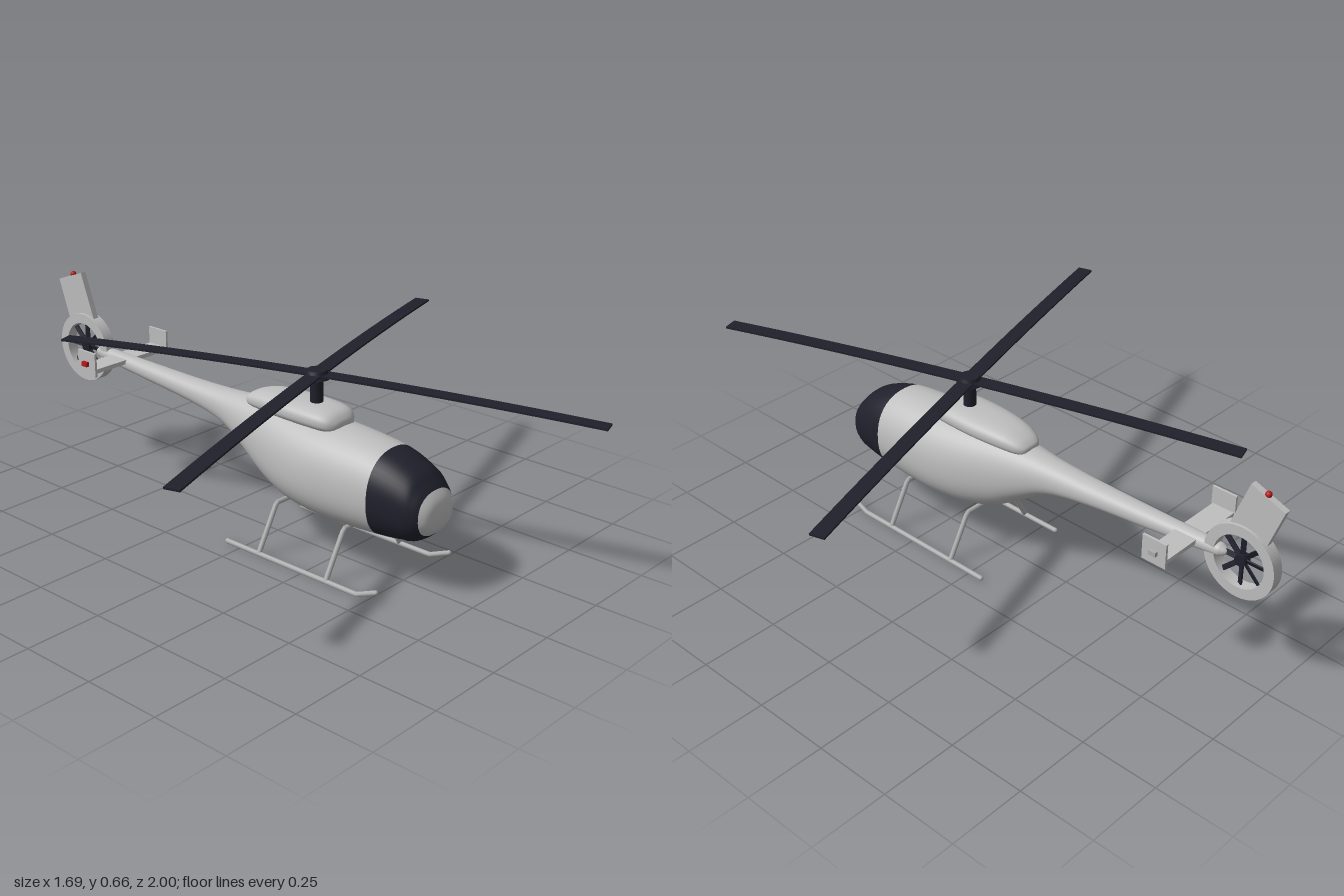
import * as THREE from 'three';

const mat = (name, color, side = THREE.FrontSide) => {
  const m = new THREE.MeshStandardMaterial({ color, side });
  m.name = name;
  return m;
};

// Cubic interpolation between rows of section values
function refine(rows, steps) {
  const out = [];
  const at = i => rows[Math.min(Math.max(i, 0), rows.length - 1)];
  for (let i = 0; i < rows.length - 1; i++) {
    for (let s = 0; s < steps; s++) {
      const t = s / steps;
      out.push(at(i).map((b, k) => {
        const a = at(i - 1)[k], c = at(i + 1)[k], d = at(i + 2)[k];
        return b + 0.5 * t * (c - a + t * (2 * a - 5 * b + 4 * c - d + t * (3 * (b - c) + d - a)));
      }));
    }
  }
  out.push(rows[rows.length - 1]);
  return out;
}

// Closed hull from sections [z, top, bottom, halfWidth], ordered front to back
function hull(sections, power, pick = () => 0) {
  const rows = refine(sections, 4), n = 48, pos = [], faces = [[], []];
  for (const [z, top, bottom, w] of rows) {
    for (let j = 0; j < n; j++) {
      const a = (j / n) * Math.PI * 2, c = Math.cos(a), s = Math.sin(a);
      const r = Math.pow(Math.abs(c) ** power + Math.abs(s) ** power, -1 / power);
      pos.push(w * c * r, (top + bottom) / 2 + (top - bottom) / 2 * s * r, z);
    }
  }
  for (let i = 0; i < rows.length - 1; i++) {
    for (let j = 0; j < n; j++) {
      const a = i * n + j, b = i * n + (j + 1) % n;
      const z = (rows[i][0] + rows[i + 1][0]) / 2;
      faces[pick(z, Math.sin((j + 0.5) / n * Math.PI * 2))].push(a, a + n, b, b, a + n, b + n);
    }
  }
  // End caps
  [[rows[0], 0, false], [rows[rows.length - 1], (rows.length - 1) * n, true]].forEach(([row, base, flip]) => {
    const centre = pos.length / 3;
    pos.push(0, (row[1] + row[2]) / 2, row[0]);
    for (let j = 0; j < n; j++) {
      const a = base + j, b = base + (j + 1) % n;
      faces[0].push(centre, flip ? b : a, flip ? a : b);
    }
  });
  const g = new THREE.BufferGeometry();
  g.setAttribute('position', new THREE.Float32BufferAttribute(pos, 3));
  g.setIndex(faces[0].concat(faces[1]));
  g.addGroup(0, faces[0].length, 0);
  g.addGroup(faces[0].length, faces[1].length, 1);
  g.computeVertexNormals();
  return g;
}

export function createModel() {
  const model = new THREE.Group();
  const grey = mat('body grey', 0xbfbfbf);
  const dark = mat('dark glass and rotor', 0x20202c);
  const metal = mat('skid metal', 0xadadad);
  const red = mat('red lamp', 0xb51a1a);

  const add = (name, geo, material, x = 0, y = 0, z = 0, parent = model) => {
    const m = new THREE.Mesh(geo, material);
    m.name = name;
    m.position.set(x, y, z);
    parent.add(m);
    return m;
  };
  const box = (w, h, d) => new THREE.BoxGeometry(w, h, d);
  const rod = (points, r = 0.008) => {
    const path = new THREE.CurvePath();
    for (let i = 1; i < points.length; i++) {
      path.add(new THREE.LineCurve3(new THREE.Vector3(...points[i - 1]), new THREE.Vector3(...points[i])));
    }
    return new THREE.TubeGeometry(path, 40, r, 10);
  };
  // Upright plate drawn as (-z, y), centred on x = 0
  const plate = (shape, width) => new THREE.ExtrudeGeometry(shape, { depth: width, bevelEnabled: false, curveSegments: 40 })
    .translate(0, 0, -width / 2).rotateY(Math.PI / 2);

  // Fuselage with tail boom; windscreen is a band around the nose
  const body = [
    [0.63, 0.268, 0.238, 0.02], [0.623, 0.3, 0.21, 0.057], [0.605, 0.328, 0.19, 0.08],
    [0.585, 0.35, 0.173, 0.094], [0.55, 0.38, 0.158, 0.106], [0.45, 0.415, 0.147, 0.123],
    [0.3, 0.43, 0.14, 0.133], [0.2, 0.433, 0.143, 0.133], [0.1, 0.435, 0.155, 0.12],
    [0, 0.435, 0.19, 0.097], [-0.1, 0.43, 0.255, 0.074], [-0.2, 0.423, 0.313, 0.054],
    [-0.35, 0.42, 0.345, 0.042], [-0.6, 0.424, 0.37, 0.03], [-0.78, 0.428, 0.388, 0.022],
    [-0.81, 0.424, 0.394, 0.017], [-0.825, 0.415, 0.403, 0.006],
  ];
  const isGlass = (z, s) => (z < 0.605 && z > 0.45 && (z > 0.55 || s > -0.8) ? 1 : 0);
  add('fuselage', hull(body, 2.3, isGlass), [grey, dark]);

  // Engine cowl
  add('engineCowl', hull([
    [0.268, 0.438, 0.424, 0.02], [0.262, 0.452, 0.415, 0.045], [0.24, 0.47, 0.41, 0.067],
    [0.19, 0.478, 0.41, 0.077], [0.08, 0.479, 0.41, 0.078], [-0.02, 0.474, 0.41, 0.067],
    [-0.075, 0.46, 0.41, 0.052], [-0.1, 0.445, 0.415, 0.035], [-0.106, 0.436, 0.424, 0.015],
  ], 2.6), [grey, grey]);

  // Main rotor
  const rotor = new THREE.Group();
  rotor.name = 'mainRotor';
  rotor.position.z = 0.155;
  model.add(rotor);
  add('mast', new THREE.CylinderGeometry(0.02, 0.02, 0.1, 20), dark, 0, 0.515, 0, rotor);
  add('rotorHub', new THREE.CylinderGeometry(0.03, 0.041, 0.026, 24), dark, 0, 0.566, 0, rotor);
  const bladeGeo = box(0.876, 0.006, 0.048).toNonIndexed();
  const long = new THREE.BoxGeometry(0.876, 0.006, 0.048, 16, 1, 1).translate(0.438, 0, 0);
  bladeGeo.dispose();
  const p = long.attributes.position;
  for (let i = 0; i < p.count; i++) p.setY(i, p.getY(i) - 0.019 * (p.getX(i) / 0.876) ** 2);
  long.computeVertexNormals();
  for (let i = 0; i < 4; i++) {
    add('rotorBlade', long, dark, 0, 0.566, 0, rotor).rotation.y = THREE.MathUtils.degToRad(17 + 90 * i);
  }

  // Tail ring with enclosed fan
  const ring = new THREE.Shape().absarc(0, 0, 0.116, 0, Math.PI * 2);
  ring.holes.push(new THREE.Path().absarc(0, 0, 0.083, 0, Math.PI * 2, true));
  add('tailRing', plate(ring, 0.038), grey, 0, 0.412, -0.875);
  const fan = new THREE.Group();
  fan.name = 'tailFan';
  fan.position.set(0, 0.412, -0.875);
  model.add(fan);
  add('fanHub', new THREE.CylinderGeometry(0.018, 0.018, 0.026, 20).rotateZ(Math.PI / 2), dark, 0, 0, 0, fan);
  const fanBlade = box(0.005, 0.074, 0.015).rotateY(0.4).translate(0, 0.046, 0);
  for (let i = 0; i < 8; i++) add('fanBlade', fanBlade, dark, 0, 0, 0, fan).rotation.x = i * Math.PI / 4;

  // Swept fin above the ring
  const fin = new THREE.Shape([[0.826, 0.508], [0.95, 0.49], [0.998, 0.626], [0.885, 0.668]]
    .map(q => new THREE.Vector2(...q)));
  add('tailFin', plate(fin, 0.02), grey);
  add('finLamp', new THREE.SphereGeometry(0.01, 12, 8), red, 0, 0.653, -0.935);

  // Horizontal stabilizer with end plates and lamps
  add('stabilizer', box(0.316, 0.014, 0.074), grey, 0, 0.411, -0.697);
  for (const s of [-1, 1]) {
    add('endPlate', box(0.008, 0.08, 0.082), grey, s * 0.158, 0.434, -0.696);
    add('endLamp', box(0.012, 0.015, 0.024), s < 0 ? red : metal, s * 0.167, 0.433, -0.697);
  }

  // Landing gear
  for (const s of [-1, 1]) {
    add('skid', rod([[s * 0.173, 0.012, -0.052], [s * 0.173, 0.012, 0.465], [s * 0.173, 0.042, 0.535]]), metal);
    for (const z of [-0.052, 0.535]) {
      add('skidTip', new THREE.SphereGeometry(0.008, 10, 8), metal, s * 0.173, z < 0 ? 0.012 : 0.042, z);
    }
  }
  for (const z of [0.348, 0.08]) {
    add('skidStrut', rod([[-0.173, 0.014, z], [-0.094, 0.156, z], [0.094, 0.156, z], [0.173, 0.014, z]]), metal);
  }
  return model;
}
